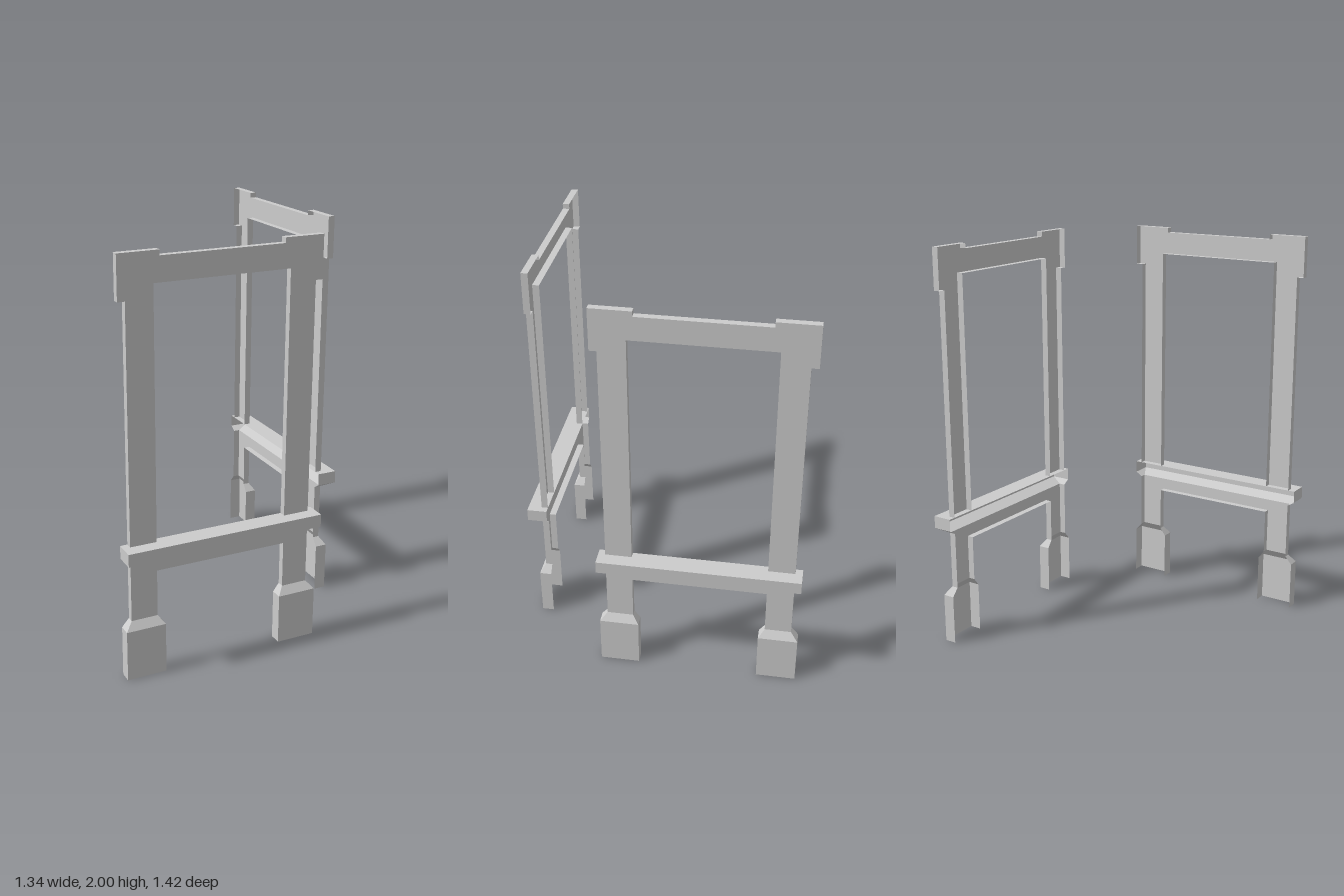
import * as THREE from 'three';

const FACE = 0.033; // depth of the flat trim
const SILL = 0.1;
const BASE = 0.06;

const material = new THREE.MeshStandardMaterial({
  color: 0xcccccc, flatShading: true, side: THREE.DoubleSide,
});

// Skin between successive rows of [x, y, z] points
function loft(rows) {
  const pos = [];
  for (let i = 0; i < rows.length - 1; i++) {
    for (let j = 0; j < rows[i].length - 1; j++) {
      const a = rows[i][j], b = rows[i][j + 1];
      const c = rows[i + 1][j + 1], d = rows[i + 1][j];
      pos.push(...a, ...b, ...c, ...a, ...c, ...d);
    }
  }
  const geo = new THREE.BufferGeometry();
  geo.setAttribute('position', new THREE.Float32BufferAttribute(pos, 3));
  geo.computeVertexNormals();
  return geo;
}

// U-shaped section, open at the back
const section = (y, x0, x1, depth) => [[x0, y, 0], [x0, y, depth], [x1, y, depth], [x1, y, 0]];

function add(parent, name, geo) {
  const mesh = new THREE.Mesh(geo, material);
  mesh.name = name;
  parent.add(mesh);
  return mesh;
}

// Open-backed panel: flat face plus a return along each given run of its outline
function panel(name, runs) {
  const group = new THREE.Group();
  group.name = name;
  const shape = new THREE.Shape(runs.flat().map(([x, y]) => new THREE.Vector2(x, y)));
  add(group, name + 'Face', new THREE.ShapeGeometry(shape)).position.z = FACE;
  for (const run of runs) {
    add(group, name + 'Edge', loft([0, FACE].map((z) => run.map(([x, y]) => [x, y, z]))));
  }
  return group;
}

// Complete a run that is symmetric about x = 0
const mirrored = (half) => [...half, ...half.map(([x, y]) => [-x, y]).reverse()];

function createFrame(name) {
  const frame = new THREE.Group();
  frame.name = name;

  // Posts and lintel with raised corner blocks
  frame.add(panel('upperTrim', [
    mirrored([[0.46, 0.665], [0.46, 1.795], [0.495, 1.795], [0.495, 2], [0.3, 2], [0.3, 1.975]]),
    mirrored([[-0.33, 0.665], [-0.33, 1.86]]),
  ]));

  // Apron and short legs below the sill
  frame.add(panel('apron', [
    [[-0.46, 0.58], [-0.46, 0.29]],
    mirrored([[-0.33, 0.29], [-0.33, 0.52]]),
    [[0.46, 0.29], [0.46, 0.58]],
  ]));

  // Projecting sill with a bevelled underside
  add(frame, 'sill', loft([
    section(0.58, -0.46, 0.46, FACE),
    section(0.602, -0.495, 0.495, SILL),
    section(0.665, -0.495, 0.495, SILL),
    section(0.665, -0.495, 0.495, 0),
  ]));

  // Plinth blocks tapering into the legs
  for (const side of [-1, 1]) {
    const c = side * 0.3975, t = side * 0.395;
    add(frame, side > 0 ? 'leftPlinth' : 'rightPlinth', loft([
      section(0, c - 0.0975, c + 0.0975, BASE),
      section(0.25, c - 0.0975, c + 0.0975, BASE),
      section(0.29, t - 0.065, t + 0.065, FACE),
    ]));
  }
  return frame;
}

export function createModel() {
  const model = new THREE.Group();
  model.name = 'windowTrim';

  const front = createFrame('frontFrame');
  front.position.set(-0.175, 0, 0.61);

  // Same frame turned to face +x
  const side = createFrame('sideFrame');
  side.rotation.y = Math.PI / 2;
  side.position.set(0.567, 0, -0.215);

  model.add(front, side);
  return model;
}
